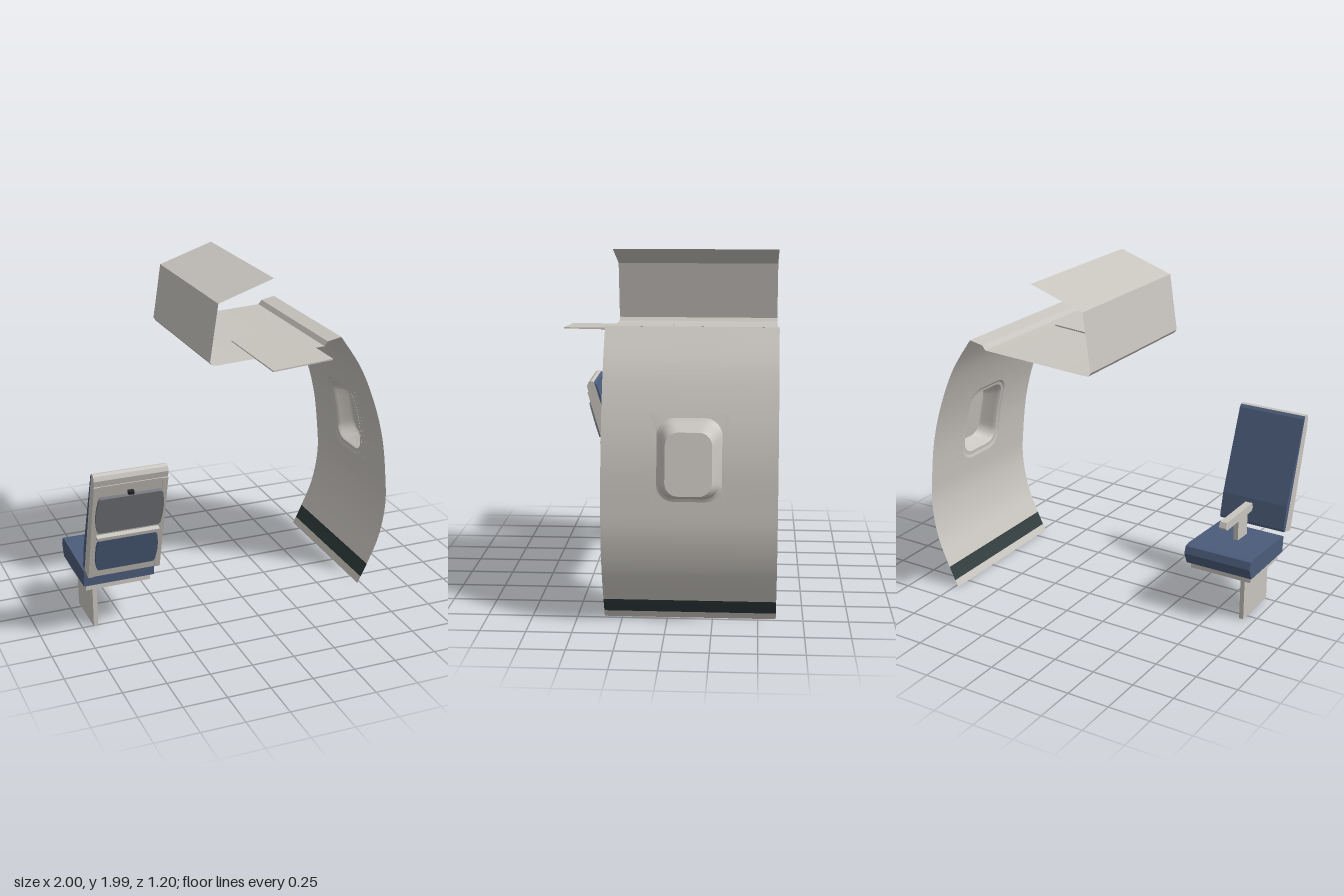
import * as THREE from 'three';
import { toCreasedNormals } from 'three/addons/utils/BufferGeometryUtils.js';

const mat = (name, color, side = THREE.FrontSide) => {
  const m = new THREE.MeshStandardMaterial({ color, side });
  m.name = name;
  return m;
};

export function createModel() {
  const light = mat('lightPlastic', 0xc8c4be, THREE.DoubleSide);
  const dark = mat('darkStrip', 0x2e3a3b, THREE.DoubleSide);
  const blue = mat('blueFabric', 0x4b5c7a);
  const grey = mat('greyTray', 0x74777d);
  const black = mat('blackLatch', 0x222326);
  const model = new THREE.Group();

  const add = (parent, name, geo, material, x = 0, y = 0, z = 0) => {
    const m = new THREE.Mesh(geo, material);
    m.name = name;
    m.position.set(x, y, z);
    parent.add(m);
    return m;
  };
  const box = (w, h, d) => new THREE.BoxGeometry(w, h, d);

  // Surface through equal-length rows of [x, y, z] points
  const loft = (rows) => {
    const n = rows[0].length, idx = [];
    for (let i = 0; i < rows.length - 1; i++) for (let j = 0; j < n - 1; j++) {
      const a = i * n + j, b = a + n;
      idx.push(a, b, a + 1, b, b + 1, a + 1);
    }
    const g = new THREE.BufferGeometry();
    g.setAttribute('position', new THREE.Float32BufferAttribute(rows.flat(2), 3));
    g.setIndex(idx);
    g.computeVertexNormals();
    return g;
  };

  // Side profile of [z, y] points extruded from x0 to x1
  const sideProfile = (pts, x0, x1) => {
    const s = new THREE.Shape(pts.map(([z, y]) => new THREE.Vector2(z, y)));
    const g = new THREE.ExtrudeGeometry(s, { depth: x1 - x0, bevelEnabled: false });
    return g.rotateY(-Math.PI / 2).translate(x1, 0, 0);
  };

  // ---- Curved side wall ----
  const Z0 = -0.6, Z1 = 0.35;
  const curve = new THREE.SplineCurve([[0.73, 0], [0.79, 0.12], [0.865, 0.3], [0.9, 0.5], [0.892, 0.69],
    [0.862, 0.93], [0.8, 1.16], [0.7, 1.4], [0.565, 1.605]].map(p => new THREE.Vector2(...p))).getPoints(160);
  const wallX = (y) => {
    const i = Math.max(1, Math.min(curve.findIndex(p => p.y >= y), curve.length - 1));
    const a = curve[i - 1], b = curve[i];
    return a.x + (b.x - a.x) * (y - a.y) / (b.y - a.y);
  };
  const wallPiece = (y0, y1, z0, z1, n) => loft(Array.from({ length: n + 1 }, (_, i) => {
    const y = Math.min(y0 + (y1 - y0) * i / n, 1.6049);
    return [[wallX(y), y, z0], [wallX(y), y, z1]];
  }));
  const wall = new THREE.Group();
  wall.name = 'sideWall';
  model.add(wall);
  const wz = -0.125, wy = 0.925, cz = 0.21, cy = 0.25;
  add(wall, 'wallFoot', wallPiece(0.0001, 0.04, Z0, Z1, 2), light);
  add(wall, 'floorStrip', wallPiece(0.04, 0.12, Z0, Z1, 4), dark);
  add(wall, 'lowerWall', wallPiece(0.12, wy - cy, Z0, Z1, 20), light);
  add(wall, 'upperWall', wallPiece(wy + cy, 1.605, Z0, Z1, 18), light);
  add(wall, 'rearWall', wallPiece(wy - cy, wy + cy, Z0, wz - cz, 16), light);
  add(wall, 'frontWall', wallPiece(wy - cy, wy + cy, wz + cz, Z1, 16), light);

  // ---- Window: rounded rings with matching point counts ----
  const ring = (hz, hy, r, xAt, midY = wy) => {
    const pts = [];
    [[1, 1], [-1, 1], [-1, -1], [1, -1]].forEach(([sz, sy], q) => {
      for (let i = 0; i <= 8; i++) {
        const t = (q + i / 8) * Math.PI / 2;
        pts.push([sz * (hz - r) + r * Math.cos(t), sy * (hy - r) + r * Math.sin(t)]);
      }
      // straight run toward the next corner
      const end = [[-(hz - r), hy], [-hz, -(hy - r)], [hz - r, -hy], [hz, hy - r]][q];
      const start = pts[pts.length - 1];
      for (let i = 1; i < 6; i++) pts.push([0, 1].map(k => start[k] + (end[k] - start[k]) * i / 6));
    });
    pts.push(pts[0]);
    return pts.map(([z, y]) => [xAt(y + midY), y + midY, z + wz]);
  };
  const outerX = (y) => 0.93 + (1.1 - y) * 0.2;
  const hole = ring(0.16, 0.2, 0.08, wallX, 0.93);
  add(wall, 'wallAroundWindow', loft([ring(cz, cy, 0.001, wallX), hole]), light);
  const win = new THREE.Group();
  win.name = 'window';
  model.add(win);
  const rim = ring(0.135, 0.175, 0.075, y => outerX(y) - 0.012, 0.93);
  const edge = ring(0.125, 0.165, 0.07, outerX, 0.93);
  add(win, 'windowFrame', toCreasedNormals(loft([
    ring(0.185, 0.235, 0.1, y => wallX(y) - 0.006), ring(0.165, 0.205, 0.085, y => wallX(y) + 0.006, 0.93),
    ring(0.155, 0.195, 0.08, y => wallX(y) + 0.025, 0.93), rim, edge]), 0.6), light);
  add(win, 'windowPane', loft([edge, edge.map(() => [outerX(0.93), 0.93, wz])]), light);

  // ---- Overhead bin: open folded sheet ----
  const bin = [[0.565, 1.605], [0.48, 1.588], [0.46, 1.562], [-0.19, 1.528], [-0.225, 1.53],
    [-0.24, 1.55], [-0.19, 1.88], [0.14, 1.99]];
  add(model, 'overheadBin', toCreasedNormals(
    loft(bin.map(([x, y]) => [[x, y, Z0], [x, y, Z1]])), 0.3), light);

  // ---- Service panel with knobs under the bin ----
  const panel = new THREE.Group();
  panel.name = 'servicePanel';
  panel.position.set(0.21, 1.555, 0.3);
  panel.rotation.z = 0.07;
  model.add(panel);
  add(panel, 'panelPlate', box(0.36, 0.008, 0.6), light);
  for (const [x, z] of [[-0.05, 0.09], [0.07, 0.09], [-0.05, -0.12], [0.07, -0.12]])
    add(panel, 'panelKnob', new THREE.CylinderGeometry(0.025, 0.016, 0.012, 20), light, x, -0.009, z);

  // ---- Seat ----
  const seat = new THREE.Group();
  seat.name = 'seat';
  model.add(seat);
  const sx = -0.79, x0 = -1, x1 = -0.58;
  add(seat, 'leg', box(0.026, 0.26, 0.31), light, -0.922, 0.13, 0.105);
  add(seat, 'seatBase', box(0.385, 0.04, 0.37), light, sx, 0.28, 0.11);
  add(seat, 'seatCushion', sideProfile([[-0.1, 0.3], [0.32, 0.3], [0.325, 0.4], [-0.08, 0.42],
    [-0.115, 0.412], [-0.13, 0.37]], x0, x1), blue);
  add(seat, 'backShell', sideProfile([[0.41, 0.4], [0.6, 1.055], [0.592, 1.08], [0.575, 1.09],
    [0.555, 1.085], [0.345, 0.42]], x0, x1), light);
  add(seat, 'backCushion', sideProfile([[0.345, 0.42], [0.555, 1.085], [0.54, 1.07], [0.352, 0.58],
    [0.32, 0.44], [0.325, 0.425]], x0, x1), blue);

  // Armrest and its post
  add(seat, 'armrestPost', box(0.03, 0.16, 0.12), light, sx, 0.48, 0.17);
  add(seat, 'armrest', sideProfile([[-0.07, 0.56], [-0.05, 0.54], [0.27, 0.54], [0.285, 0.56],
    [0.275, 0.59], [-0.055, 0.59]], sx - 0.022, sx + 0.022), light);

  // Fittings on the leaning rear face
  const rear = new THREE.Group();
  rear.name = 'backFittings';
  rear.position.set(sx, 0.4, 0.41);
  rear.rotation.x = 0.28;
  seat.add(rear);
  for (const s of [-1, 1]) add(rear, 'sideRail', box(0.03, 0.64, 0.012), light, s * 0.195, 0.325, 0.003);
  add(rear, 'headBand', box(0.42, 0.02, 0.008), light, 0, 0.635, 0.002);
  add(rear, 'trayLedge', box(0.36, 0.02, 0.034), light, 0, 0.295, 0.014);

  // Plate with softly bowed sides
  const bowed = (w, h, d) => {
    const s = new THREE.Shape(), c = 0.03;
    s.moveTo(-w + c, -h);
    s.lineTo(w - c, -h);
    s.quadraticCurveTo(w - 0.01, -h, w - 0.008, -h + c);
    s.quadraticCurveTo(w + 0.008, 0, w - 0.008, h - c);
    s.quadraticCurveTo(w - 0.01, h, w - c, h);
    s.lineTo(-w + c, h);
    s.quadraticCurveTo(-w + 0.01, h, -w + 0.008, h - c);
    s.quadraticCurveTo(-w - 0.008, 0, -w + 0.008, -h + c);
    s.quadraticCurveTo(-w + 0.01, -h, -w + c, -h);
    return toCreasedNormals(new THREE.ExtrudeGeometry(s, { depth: d, bevelEnabled: false, curveSegments: 6 }), 0.6);
  };
  add(rear, 'trayTable', bowed(0.193, 0.118, 0.024), grey, 0, 0.452, 0);
  add(rear, 'pocket', bowed(0.18, 0.106, 0.024), blue, 0, 0.17, 0);
  add(rear, 'trayLatch', box(0.032, 0.02, 0.026), black, 0, 0.585, 0.01);
  return model;
}
